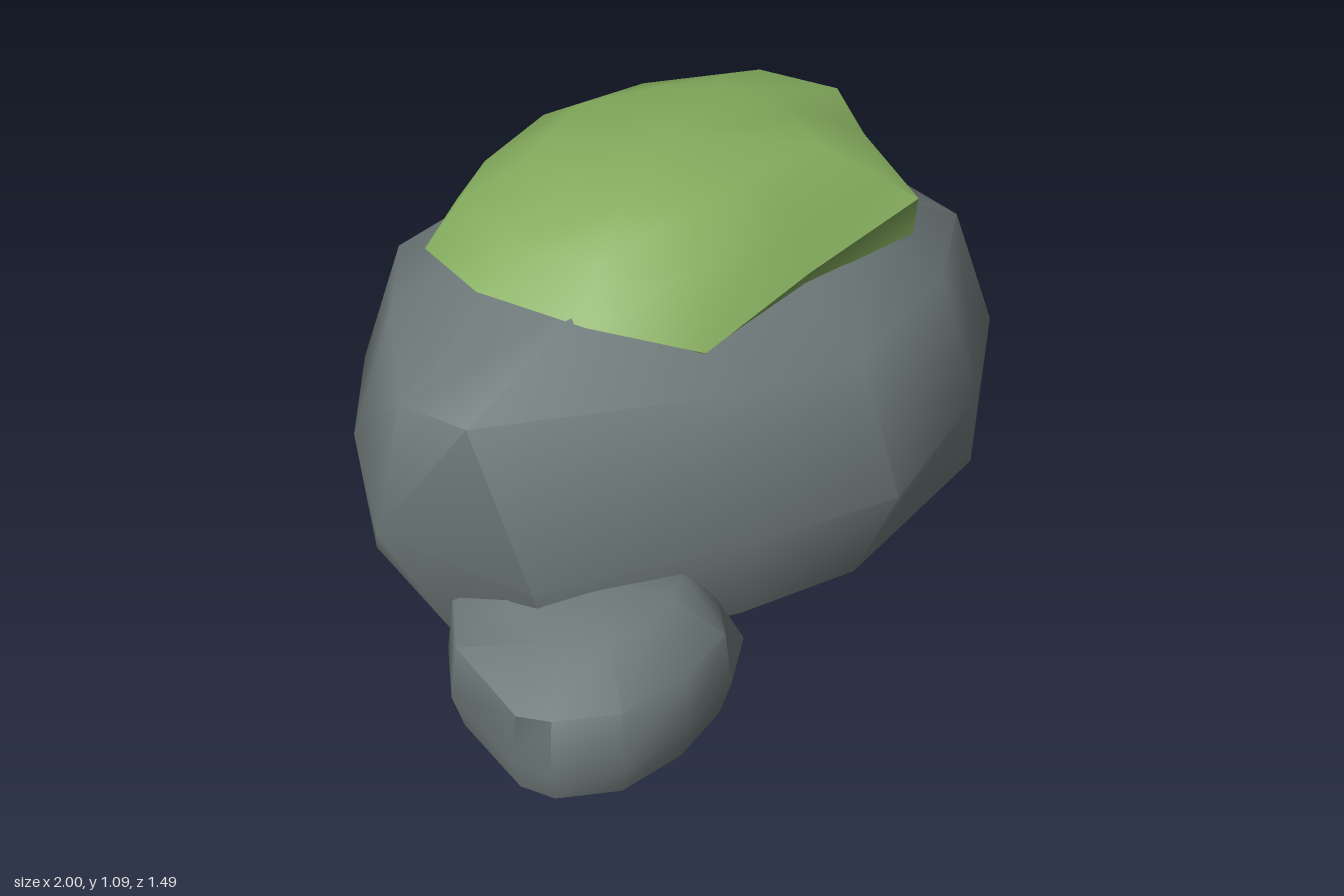
import * as THREE from 'three';
import { toCreasedNormals } from 'three/addons/utils/BufferGeometryUtils.js';

const SIDES = 12;

// Closed lump: a 12-point plan outline [x, z], scaled about a centre at each row,
// with moved corners given as { index: [x, y, z] }. Rows run from bottom to top.
function lump(outline, [cx, cz], bottomY, topY, rows) {
  const points = [];
  for (const { y, scale, moved = {} } of rows) {
    outline.forEach(([x, z], i) => {
      points.push(...(moved[i] ?? [cx + (x - cx) * scale, y, cz + (z - cz) * scale]));
    });
  }
  const bottom = rows.length * SIDES;
  const top = bottom + 1;
  points.push(cx, bottomY, cz, cx, topY, cz);

  const faces = [];
  const last = (rows.length - 1) * SIDES;
  for (let i = 0; i < SIDES; i++) {
    const n = (i + 1) % SIDES;
    faces.push(bottom, i, n, top, last + n, last + i);
    for (let r = 0; r < last; r += SIDES) {
      const a = r + i, b = r + n, c = a + SIDES, d = b + SIDES;
      faces.push(a, c, b, b, c, d);
    }
  }
  const geometry = new THREE.BufferGeometry();
  geometry.setAttribute('position', new THREE.Float32BufferAttribute(points, 3));
  geometry.setIndex(faces);
  return toCreasedNormals(geometry, 0.95);
}

export function createModel() {
  const group = new THREE.Group();
  const stone = new THREE.MeshStandardMaterial({ color: 0x6f7a7a });
  stone.name = 'stone grey';
  const green = new THREE.MeshStandardMaterial({ color: 0x85ad5e });
  green.name = 'moss green';

  const add = (name, geometry, material) => {
    const mesh = new THREE.Mesh(geometry, material);
    mesh.name = name;
    group.add(mesh);
  };

  // Large boulder with a flat base and one jutting rear corner
  add('boulder', lump(
    [[0.95, -0.02], [0.89, 0.39], [0.55, 0.6], [0.06, 0.74], [-0.3, 0.62], [-0.8, 0.4],
      [-0.89, -0.03], [-0.67, -0.39], [-0.42, -0.66], [0.06, -0.745], [0.46, -0.575], [1, -0.5]],
    [0.055, 0], 0.1, 1.0, [
      { y: 0.1, scale: 0.86, moved: {
        0: [0.86, 0.1, -0.05], 1: [0.84, 0.1, 0.22], 2: [0.55, 0.18, 0.6], 3: [0.06, 0.1, 0.62],
        4: [-0.27, 0.12, 0.55], 6: [-0.78, 0.1, 0.08], 7: [-0.7, 0.1, -0.295],
        8: [-0.35, 0.1, -0.52], 9: [0.06, 0.1, -0.71], 10: [0.45, 0.22, -0.53],
        11: [0.89, 0.11, -0.33] } },
      { y: 0.38, scale: 1 },
      { y: 0.72, scale: 0.86, moved: {
        0: [0.86, 0.71, 0], 3: [0.06, 0.71, 0.61], 5: [-0.83, 0.76, 0.24],
        6: [-0.8, 0.69, -0.03], 11: [0.925, 0.75, -0.3] } },
      { y: 0.92, scale: 0.5, moved: {
        0: [0.5, 0.88, -0.01], 1: [0.46, 0.88, 0.2], 3: [0.06, 0.89, 0.33],
        9: [0.06, 0.92, -0.42], 10: [0.36, 0.94, -0.43], 11: [0.52, 0.88, -0.24] } },
    ]), stone);

  // Small stone beside the boulder
  add('smallStone', lump(
    [[-0.26, 0.42], [-0.32, 0.6], [-0.46, 0.69], [-0.64, 0.73], [-0.83, 0.715], [-0.96, 0.62],
      [-0.99, 0.53], [-0.94, 0.27], [-0.83, 0.13], [-0.64, 0.11], [-0.46, 0.15], [-0.33, 0.25]],
    [-0.64, 0.42], 0.005, 0.345, [
      { y: 0.01, scale: 0.92 },
      { y: 0.1, scale: 1 },
      { y: 0.24, scale: 0.95, moved: {
        0: [-0.37, 0.21, 0.42], 1: [-0.38, 0.23, 0.57], 6: [-1, 0.26, 0.56],
        11: [-0.4, 0.23, 0.27] } },
      { y: 0.325, scale: 0.58 },
    ]), stone);

  // Moss cap draped over the top, with an overhanging lip at the front
  add('mossCap', lump(
    [[0.7, -0.02], [0.59, 0.2], [0.44, 0.455], [0.06, 0.44], [-0.33, 0.475], [-0.48, 0.25],
      [-0.575, -0.02], [-0.49, -0.29], [-0.27, -0.43], [0.06, -0.54], [0.43, -0.49], [0.7, -0.345]],
    [0.06, 0], 0.84, 1.09, [
      { y: 0.835, scale: 0.86, moved: {
        1: [0.56, 0.83, 0.2], 2: [0.44, 0.83, 0.445], 3: [0.06, 0.83, 0.42],
        4: [-0.33, 0.83, 0.465] } },
      { y: 0.87, scale: 1, moved: {
        1: [0.6, 0.9, 0.2], 2: [0.44, 0.93, 0.455], 4: [-0.33, 0.835, 0.475],
        6: [-0.565, 0.89, -0.02] } },
      { y: 0.98, scale: 0.86, moved: {
        0: [0.695, 0.99, -0.02], 1: [0.56, 0.98, 0.17], 2: [0.4, 0.97, 0.38],
        4: [-0.26, 0.97, 0.37], 5: [-0.39, 0.98, 0.2], 11: [0.67, 0.975, -0.27] } },
      { y: 1.06, scale: 0.58, moved: {
        0: [0.4, 1.05, -0.02], 10: [0.28, 1.045, -0.28], 11: [0.42, 1.035, -0.19] } },
    ]), green);

  return group;
}
